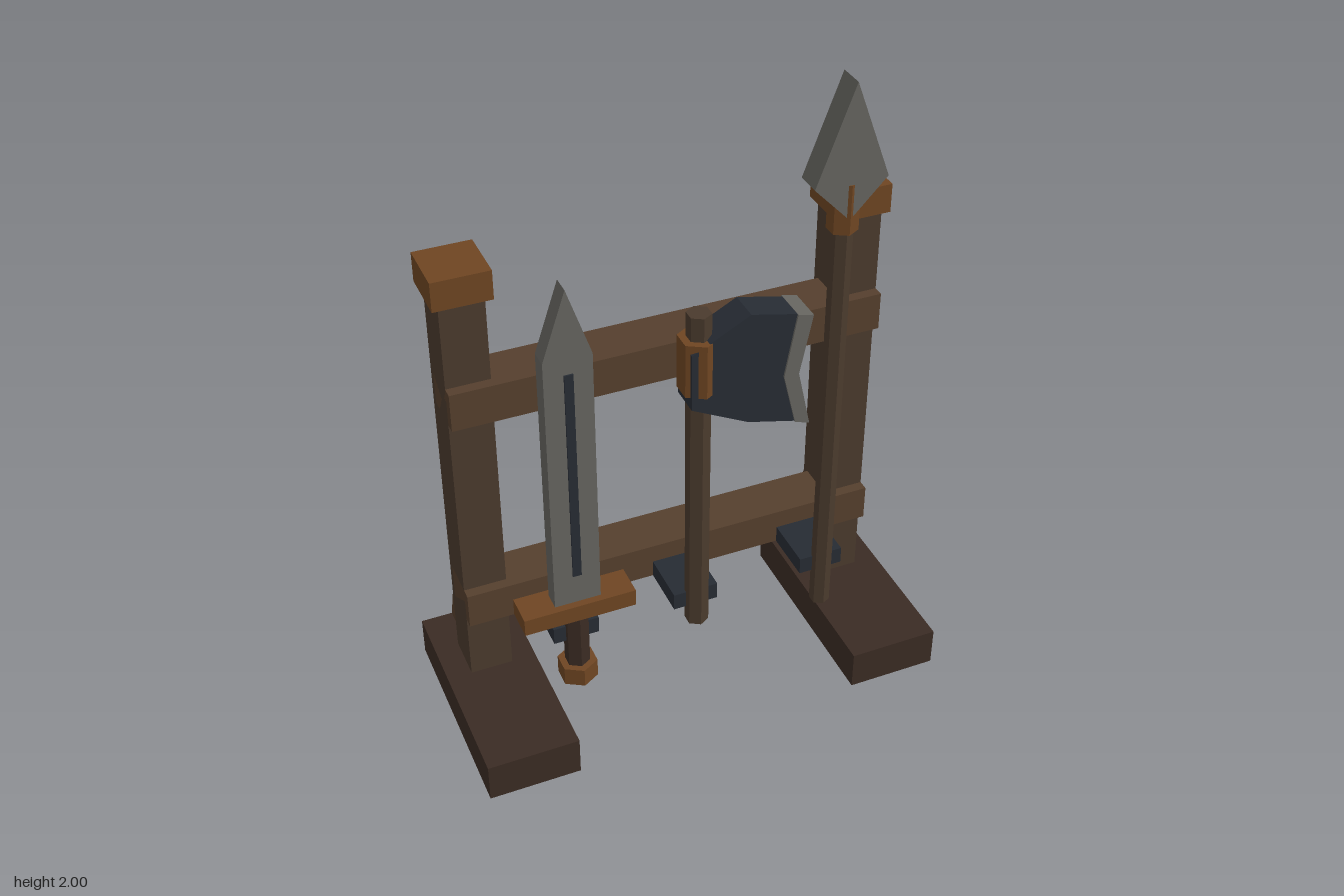
import * as THREE from 'three';

const mat = (color) => new THREE.MeshStandardMaterial({ color, flatShading: true });

export function createModel() {
  const root = new THREE.Group();
  root.name = 'weaponRack';

  const footWood = mat(0x3a2b23), postWood = mat(0x4a3a2d), railWood = mat(0x553f2d);
  const bronze = mat(0x6e4522), iron = mat(0x262b33), steel = mat(0x65645f);

  const add = (parent, name, geometry, material) => {
    const mesh = new THREE.Mesh(geometry, material);
    mesh.name = name;
    parent.add(mesh);
    return mesh;
  };
  // Box given by its low and high corners
  const box = (parent, name, material, [x0, y0, z0], [x1, y1, z1]) => {
    const g = new THREE.BoxGeometry(x1 - x0, y1 - y0, z1 - z0);
    g.translate((x0 + x1) / 2, (y0 + y1) / 2, (z0 + z1) / 2);
    return add(parent, name, g, material);
  };
  // Upright six-sided rod
  const rod = (parent, name, material, r, y0, y1) => {
    const g = new THREE.CylinderGeometry(r, r, y1 - y0, 6);
    g.translate(0, (y0 + y1) / 2, 0);
    return add(parent, name, g, material);
  };
  // Flat outline extruded evenly about z = 0
  const plate = (parent, name, material, points, depth) => {
    const shape = new THREE.Shape(points.map(([x, y]) => new THREE.Vector2(x, y)));
    const g = new THREE.ExtrudeGeometry(shape, { depth, bevelEnabled: false });
    g.translate(0, 0, -depth / 2);
    return add(parent, name, g, material);
  };
  const group = (name, x, z) => {
    const g = new THREE.Group();
    g.name = name;
    g.position.set(x, 0, z);
    root.add(g);
    return g;
  };

  // Two end stands: foot, post, cap and rear brace
  for (const [name, side] of [['rightStand', -1], ['leftStand', 1]]) {
    const stand = group(name, side * 0.59, 0);
    box(stand, 'foot', footWood, [-0.14, 0, -0.335], [0.14, 0.125, 0.335]);
    box(stand, 'post', postWood, [-0.065, 0.12, -0.195], [0.065, 1.45, -0.055]);
    box(stand, 'postCap', bronze, [-0.085, 1.445, -0.21], [0.085, 1.535, -0.04]);
    const brace = plate(stand, 'brace', railWood,
      [[0.18, 0.585], [0.335, 0.125], [0.245, 0.12], [0.18, 0.315]], 0.084);
    brace.rotation.y = Math.PI / 2;
  }

  // Cross rails
  for (const [name, y0, y1] of [['lowerRail', 0.345, 0.46], ['upperRail', 1.065, 1.185]]) {
    box(root, name, railWood, [-0.655, y0, -0.172], [0.655, y1, -0.022]);
  }

  // Support pegs under each weapon
  for (const x of [-0.38, 0, 0.417]) {
    box(root, 'supportPeg', iron, [x - 0.07, 0.345, -0.03], [x + 0.07, 0.4, 0.145]);
  }

  // Sword
  const sword = group('sword', -0.38, 0.142);
  plate(sword, 'swordBlade', steel,
    [[-0.07, 0.5], [0.07, 0.5], [0.07, 1.355], [0, 1.565], [-0.07, 1.355]], 0.056);
  box(sword, 'fuller', iron, [-0.013, 0.61, 0.01], [0.013, 1.305, 0.033]);
  box(sword, 'crossGuard', bronze, [-0.17, 0.455, -0.05], [0.17, 0.51, 0.05]);
  rod(sword, 'swordGrip', footWood, 0.038, 0.25, 0.46);
  rod(sword, 'pommel', bronze, 0.06, 0.2, 0.26);

  // Axe
  const axe = group('axe', 0, 0.151);
  rod(axe, 'axeHandle', postWood, 0.036, 0.295, 1.39);
  rod(axe, 'axeCollar', bronze, 0.06, 1.145, 1.315);
  plate(axe, 'axeHead', iron,
    [[-0.04, 1.11], [0.132, 1.022], [0.277, 0.985], [0.237, 1.15], [0.272, 1.345],
      [0.132, 1.378], [-0.04, 1.288]], 0.096);
  plate(axe, 'axeEdge', steel,
    [[0.275, 0.985], [0.32, 0.97], [0.28, 1.15], [0.317, 1.335], [0.27, 1.346], [0.235, 1.15]], 0.108);

  // Spear
  const spear = group('spear', 0.415, 0.153);
  rod(spear, 'spearShaft', postWood, 0.031, 0.23, 1.6);
  rod(spear, 'spearSocket', bronze, 0.044, 1.555, 1.705);
  plate(spear, 'spearHead', steel, [[0, 1.6], [0.108, 1.712], [0, 2], [-0.108, 1.712]], 0.078);

  return root;
}
